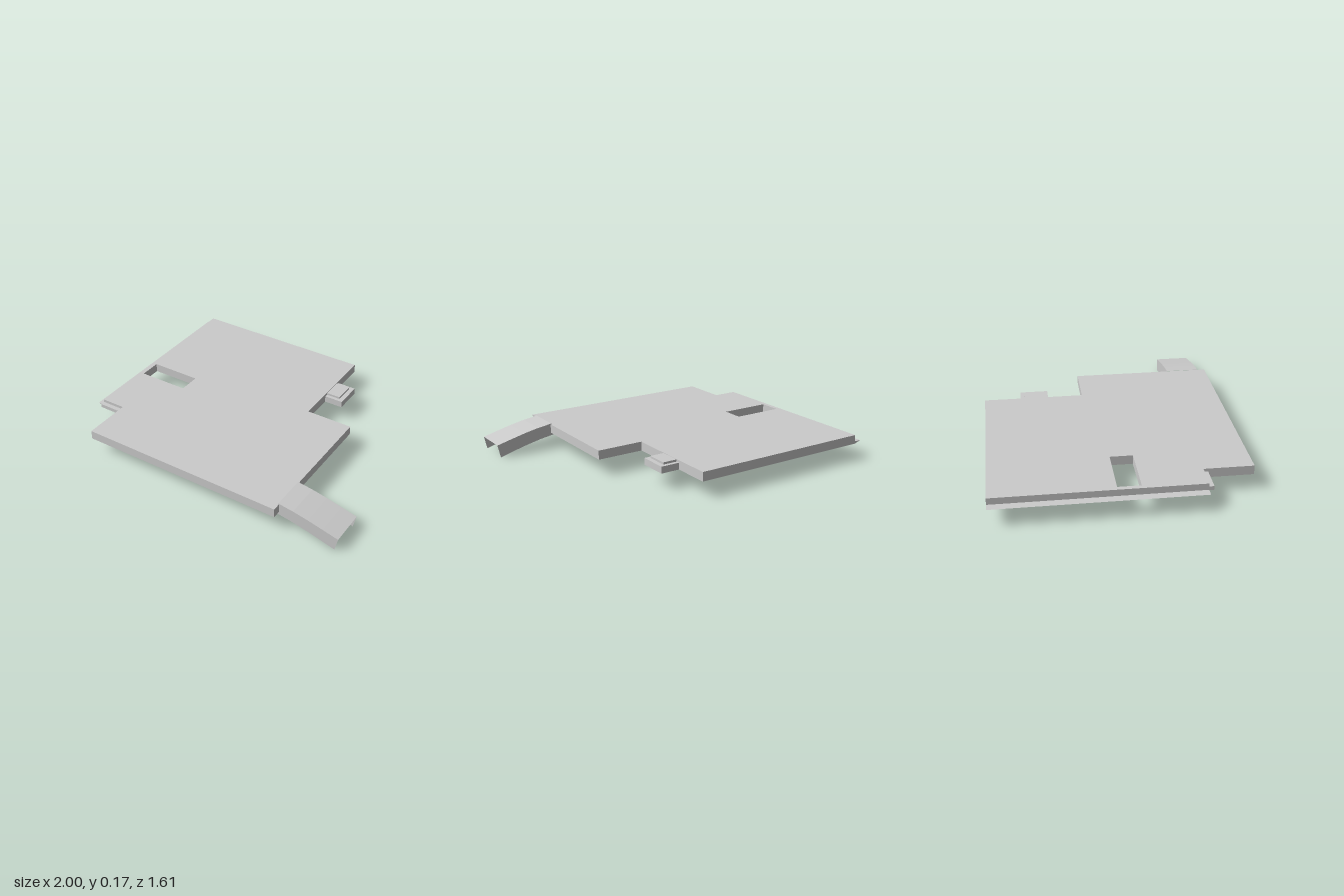
import * as THREE from 'three';

const material = new THREE.MeshStandardMaterial({ color: 0xcccccc, flatShading: true });
const sheetMaterial = material.clone();
sheetMaterial.side = THREE.DoubleSide;

const TOP = 0.165, BOTTOM = 0.105;

function addMesh(group, name, geometry, mat = material) {
  const mesh = new THREE.Mesh(geometry, mat);
  mesh.name = name;
  group.add(mesh);
}

// Box given by its lower and upper corners
function addBlock(group, name, [x0, y0, z0], [x1, y1, z1]) {
  const geometry = new THREE.BoxGeometry(x1 - x0, y1 - y0, z1 - z0);
  geometry.translate((x0 + x1) / 2, (y0 + y1) / 2, (z0 + z1) / 2);
  addMesh(group, name, geometry);
}

const points = (list) => list.map(([a, b]) => new THREE.Vector2(a, b));

// Flat deck, outlined in x and z, with a rectangular slot
function deckGeometry() {
  const shape = new THREE.Shape(points([
    [-0.95, -0.805], [0.29, -0.805], [0.29, -0.135], [0.605, -0.135],
    [0.605, 0.805], [-0.785, 0.805], [-0.785, 0.49], [-0.95, 0.49],
  ]));
  shape.holes.push(new THREE.Path(points([
    [-0.92, -0.05], [-0.92, 0.095], [-0.575, 0.095], [-0.575, -0.05],
  ])));
  const geometry = new THREE.ExtrudeGeometry(shape, { depth: TOP - BOTTOM, bevelEnabled: false });
  return geometry.rotateX(Math.PI / 2).translate(0, TOP, 0);
}

// Thin wedge along the side edge
function lipGeometry() {
  const shape = new THREE.Shape(points([[-1, 0.12], [-0.95, BOTTOM], [-0.95, 0.122]]));
  const geometry = new THREE.ExtrudeGeometry(shape, { depth: 1.295, bevelEnabled: false });
  return geometry.translate(0, 0, -0.805);
}

// Curved channel, open below and at its end: side, top, side
function rampGeometry() {
  const upper = [[0.6, 0.17], [0.7, 0.156], [0.8, 0.136], [0.9, 0.112], [1, 0.087]];
  const lower = [[0.585, 0.09], [0.682, 0.075], [0.782, 0.053], [0.88, 0.028], [0.98, 0]];
  const z0 = 0.525, z1 = 0.753;
  const positions = [], index = [];
  upper.forEach((u, i) => {
    positions.push(...lower[i], z1, ...u, z1, ...u, z0, ...lower[i], z0);
    if (i === 0) return;
    for (let j = 0; j < 3; j++) {
      const a = (i - 1) * 4 + j, b = a + 4;
      index.push(a, b, b + 1, a, b + 1, a + 1);
    }
  });
  const geometry = new THREE.BufferGeometry();
  geometry.setAttribute('position', new THREE.Float32BufferAttribute(positions, 3));
  geometry.setIndex(index);
  const flat = geometry.toNonIndexed();
  flat.computeVertexNormals();
  return flat;
}

export function createModel() {
  const model = new THREE.Group();
  model.name = 'deck';

  addMesh(model, 'deckSlab', deckGeometry());
  addMesh(model, 'edgeLip', lipGeometry());
  addMesh(model, 'ramp', rampGeometry(), sheetMaterial);

  // Tongue in the front corner notch
  addBlock(model, 'cornerTongue', [-0.95, 0.12, 0.49], [-0.785, 0.145, 0.52]);

  // Stepped tab on the left edge
  addBlock(model, 'tabBase', [0.29, BOTTOM, -0.56], [0.417, 0.149, -0.37]);
  addBlock(model, 'tabStep', [0.29, 0.149, -0.535], [0.387, 0.163, -0.393]);

  return model;
}
